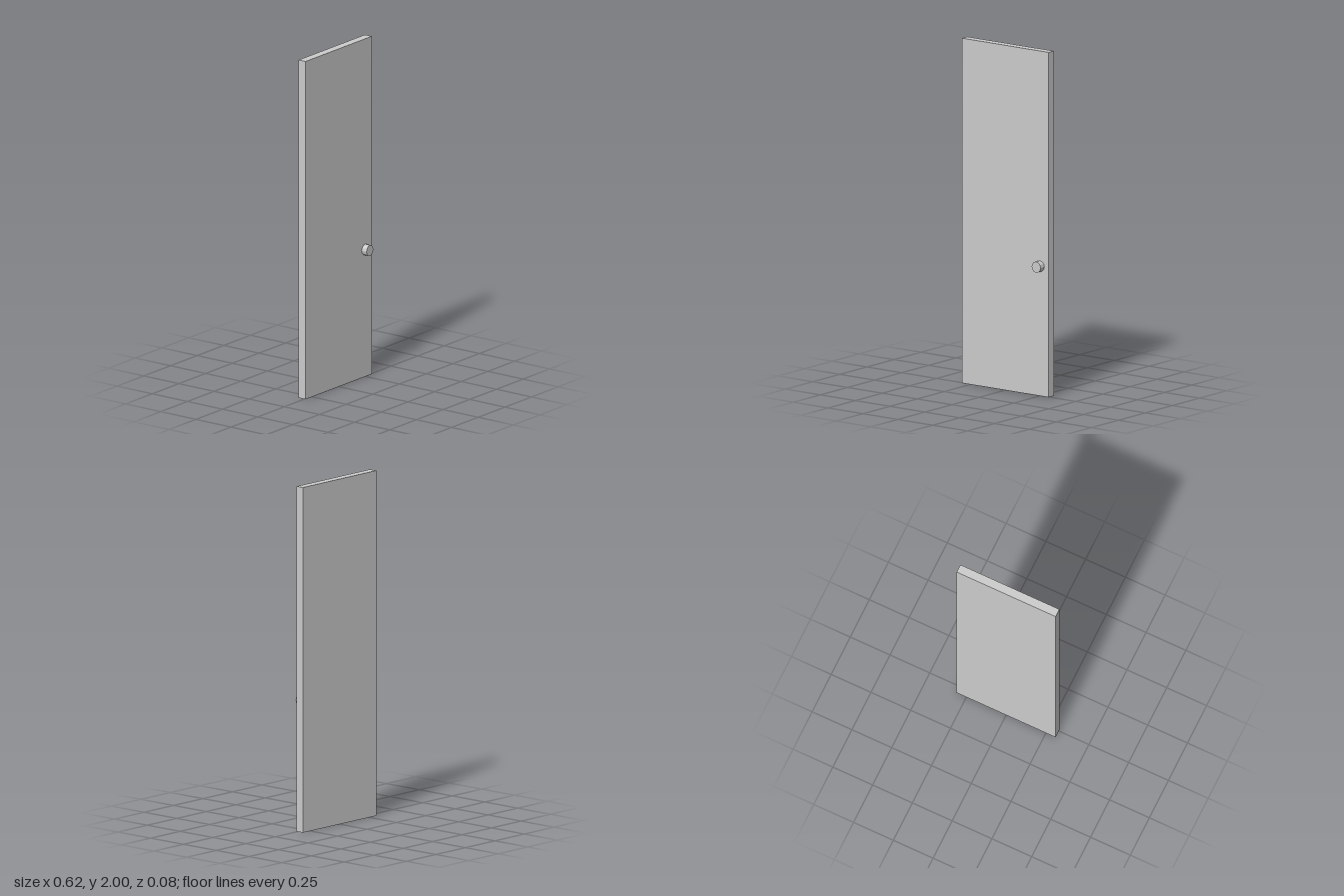
import * as THREE from 'three';

export function createModel() {
  const group = new THREE.Group();
  const material = new THREE.MeshStandardMaterial({ color: 0xcccccc, flatShading: true });

  const addPart = (name, geometry, x, y, z) => {
    const mesh = new THREE.Mesh(geometry, material);
    mesh.name = name;
    mesh.position.set(x, y, z);
    group.add(mesh);
    return mesh;
  };

  // Plain slab, set slightly back so the knob completes the depth
  addPart('doorPanel', new THREE.BoxGeometry(0.622, 2, 0.049), 0, 1, -0.0175);

  // Short twelve-sided knob standing on the front face
  const knob = addPart('doorKnob', new THREE.CylinderGeometry(0.032, 0.032, 0.035, 12), 0.248, 0.752, 0.0245);
  knob.rotation.x = Math.PI / 2;

  return group;
}
